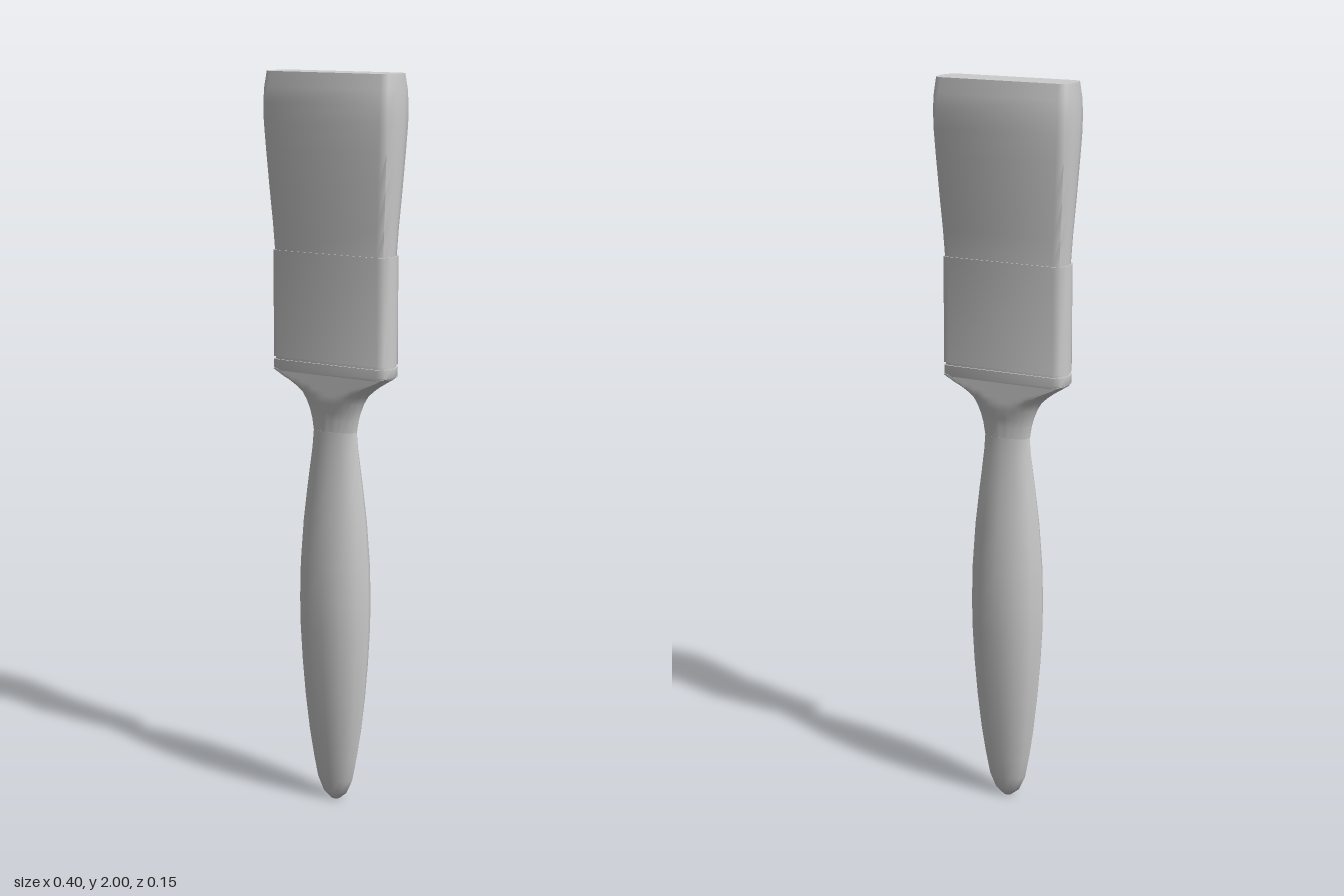
import * as THREE from 'three';
import { toCreasedNormals } from 'three/addons/utils/BufferGeometryUtils.js';

const material = new THREE.MeshStandardMaterial({ color: 0xcccccc });

// Skin a stack of rings (bottom to top, running from +x towards +z) and close both ends
function loft(name, rings, crease = 0.9) {
  const n = rings[0].length;
  const points = rings.flat();
  const index = [];
  for (let r = 0; r < rings.length - 1; r++) {
    for (let j = 0; j < n; j++) {
      const a = r * n + j, b = r * n + (j + 1) % n;
      index.push(a, a + n, b, b, a + n, b + n);
    }
  }
  const last = (rings.length - 1) * n;
  points.push([0, rings[0][0][1], 0], [0, rings.at(-1)[0][1], 0]);
  for (let j = 0; j < n; j++) {
    const k = (j + 1) % n;
    index.push(points.length - 2, j, k);
    index.push(points.length - 1, last + k, last + j);
  }
  const geometry = new THREE.BufferGeometry();
  geometry.setAttribute('position', new THREE.Float32BufferAttribute(points.flat(), 3));
  geometry.setIndex(index);
  const mesh = new THREE.Mesh(toCreasedNormals(geometry, crease), material);
  mesh.name = name;
  return mesh;
}

// Ellipse whose front and back may be cut flat at z = +-limit
function ellipse(y, a, b, sides, limit = 1) {
  return Array.from({ length: sides }, (_, i) => {
    const t = (i / sides) * Math.PI * 2;
    const z = THREE.MathUtils.clamp(b * Math.sin(t), -limit, limit);
    return [a * Math.cos(t), y, z];
  });
}

// Flat bar section with rounded narrow sides
function bar(y, w, d) {
  const quarter = [[w, 0], [w - 0.002, d * 0.33], [w - 0.01, d * 0.85], [w - 0.028, d]];
  const half = [...quarter, ...quarter.slice(1).reverse().map(([x, z]) => [-x, z])];
  const full = [...half, [-w, 0], ...half.slice(1).reverse().map(([x, z]) => [x, -z])];
  return full.map(([x, z]) => [x, y, z]);
}

export function createModel() {
  const group = new THREE.Group();
  group.name = 'paintBrush';

  // Handle: [y, half width, half depth]
  const handle = [
    [0, 0.012, 0.008], [0.02, 0.036, 0.02], [0.06, 0.055, 0.028], [0.12, 0.067, 0.036],
    [0.2, 0.08, 0.046], [0.3, 0.091, 0.057], [0.4, 0.099, 0.065], [0.5, 0.104, 0.071],
    [0.58, 0.105, 0.073], [0.68, 0.103, 0.07], [0.8, 0.095, 0.06], [0.9, 0.084, 0.048],
    [1.0, 0.071, 0.036], [1.05, 0.067, 0.032],
  ];
  group.add(loft('handle', handle.map(([y, a, b]) => ellipse(y, a, b, 12)), 1.2));

  // Shoulder: flares out from the neck, cut flat on front and back
  const shoulder = [
    [1.05, 0.066, 0.031], [1.08, 0.071, 0.031], [1.105, 0.078, 0.034], [1.13, 0.088, 0.042],
    [1.15, 0.1, 0.048], [1.165, 0.116, 0.06], [1.18, 0.136, 0.076], [1.19, 0.152, 0.095],
    [1.2, 0.168, 0.12], [1.21, 0.18, 0.15],
  ];
  group.add(loft('shoulder', shoulder.map(([y, a, b]) => ellipse(y, a, b, 60, 0.042)), 0.6));

  // Lip, groove and metal band
  group.add(loft('shoulderLip', [bar(1.205, 0.177, 0.042), bar(1.212, 0.182, 0.043), bar(1.235, 0.182, 0.043)]));
  group.add(loft('groove', [bar(1.23, 0.178, 0.039), bar(1.246, 0.178, 0.039)]));
  group.add(loft('ferrule', [bar(1.242, 0.182, 0.043), bar(1.53, 0.182, 0.043)]));

  // Bristles swell outwards, then round in at the tip
  const bristles = [
    [1.525, 0.178, 0.04], [1.6, 0.182, 0.044], [1.7, 0.189, 0.051], [1.8, 0.195, 0.058],
    [1.87, 0.199, 0.062], [1.92, 0.2, 0.062], [1.96, 0.199, 0.058], [2.0, 0.196, 0.049],
  ];
  group.add(loft('bristles', bristles.map(([y, w, d]) => bar(y, w, d))));

  return group;
}
